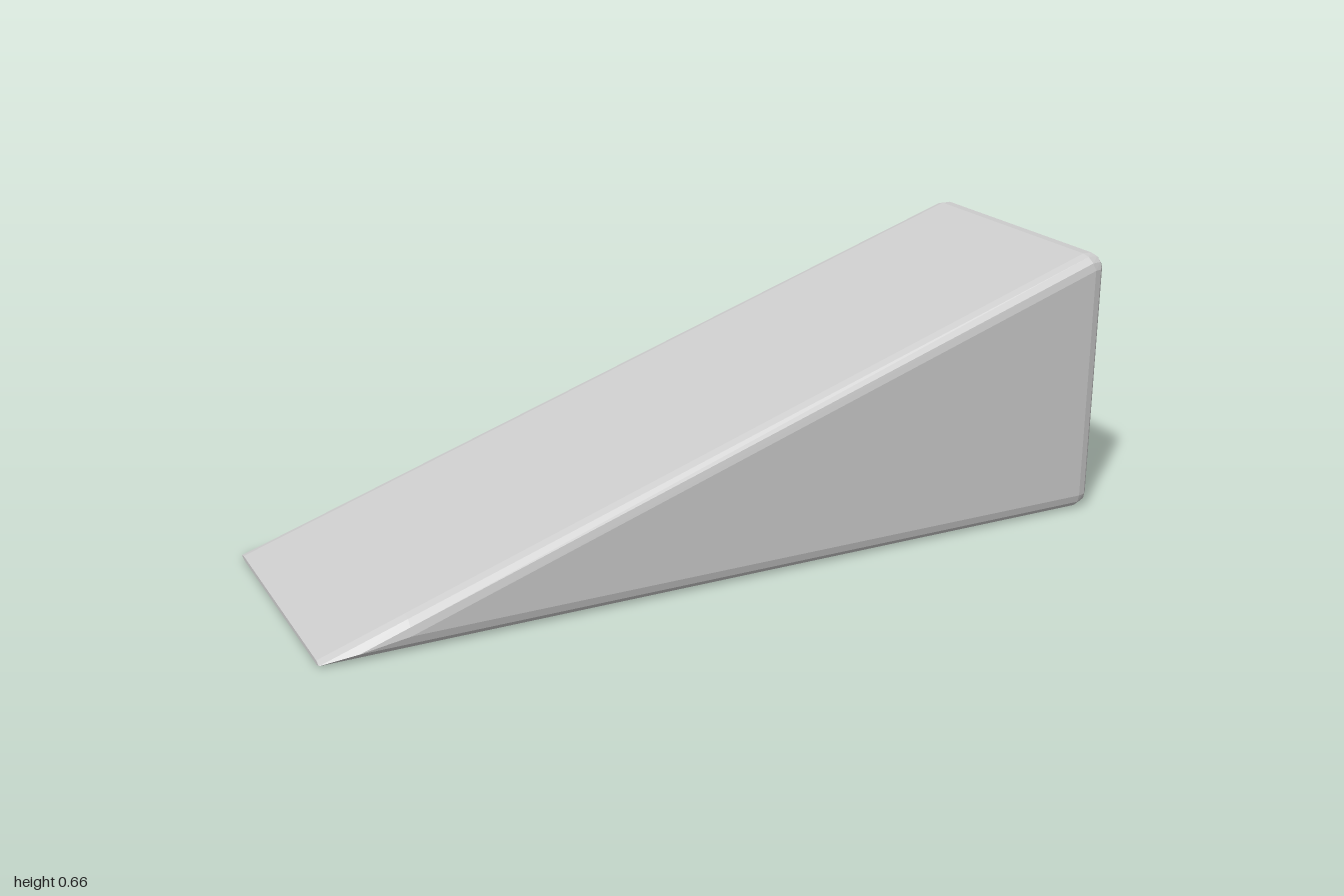
import * as THREE from 'three';

const R = 0.038, HALF = 0.338, SEG = 3;          // edge radius, half width, edge facets
const CORE = HALF - R, END = 1 - R;              // flat limits inside the rounded edges
const TIP = 0.01, SLOPE = 0.333;                 // tip thickness and ramp gradient
const TILT = Math.atan(SLOPE);
const rampY = (x) => TIP + SLOPE * (x + 1);
const POCKET = { x0: 0.39, x1: 0.935, z: 0.272, depth: 0.2 };

// Mirror the +z half of a section to close the ring
function closeRing(half) {
  const mirrored = half.map((p) => new THREE.Vector3(p.x, p.y, -p.z)).reverse();
  return [...half, ...mirrored];
}

// Section of the ramp near the thin end, where the edge roundings run into each other
function taperRing(x) {
  const h = rampY(x), bottom = [], top = [];
  for (let k = SEG; k >= 0; k--) {
    const d = Math.min(R * (1 - Math.sin((k / SEG) * Math.PI / 2)), h / 2);
    const z = CORE + Math.sqrt(Math.max(0, R * R - (R - d) ** 2));
    bottom.push(new THREE.Vector3(x, d, z));
    top.unshift(new THREE.Vector3(x, h - d, z));
  }
  return closeRing([...bottom, ...top]);
}

// Section of the rounded tall end, t = 0 at the ramp to 1 at the end face
function endRing(t) {
  const phi = t * Math.PI / 2;
  const alpha = -TILT + t * (Math.PI / 2 + TILT);
  const side = new THREE.Vector3(Math.sin(phi), 0, Math.cos(phi));
  const down = new THREE.Vector3(Math.sin(phi), -Math.cos(phi), 0);
  const up = new THREE.Vector3(Math.sin(alpha), Math.cos(alpha), 0);
  const low = new THREE.Vector3(END, R, CORE);
  const high = new THREE.Vector3(END, rampY(END) - R / Math.cos(TILT), CORE);
  const corner = (centre, dir, k) => {
    const a = (k / SEG) * Math.PI / 2;
    return side.clone().multiplyScalar(Math.cos(a)).addScaledVector(dir, Math.sin(a))
      .normalize().multiplyScalar(R).add(centre);
  };
  const half = [];
  for (let k = SEG; k >= 0; k--) half.push(corner(low, down, k));
  for (let k = 0; k <= SEG; k++) half.push(corner(high, up, k));
  return closeRing(half);
}

// Loft through the sections, leaving the underside open for the base plate
function wedgeGeometry() {
  const rings = [TIP, R, 2 * R].map((h) => taperRing((h - TIP) / SLOPE - 1));
  for (let i = 0; i <= SEG; i++) rings.push(endRing(i / SEG));
  const n = rings[0].length, last = rings.length - 1, pos = [];
  const tri = (...pts) => pts.forEach((p) => pos.push(p.x, p.y, p.z));
  for (let s = 0; s < last; s++) {
    for (let j = 0; j < n; j++) {
      if (j === n - 1 && s < 3) continue;
      const k = (j + 1) % n;
      const a = rings[s][j], b = rings[s][k], c = rings[s + 1][k], d = rings[s + 1][j];
      tri(a, d, c);
      tri(a, c, b);
    }
  }
  for (let j = 1; j < n - 1; j++) {
    tri(rings[0][0], rings[0][j], rings[0][j + 1]);
    tri(rings[last][0], rings[last][j + 1], rings[last][j]);
  }
  const geo = new THREE.BufferGeometry();
  geo.setAttribute('position', new THREE.Float32BufferAttribute(pos, 3));
  geo.computeVertexNormals();
  return geo;
}

function rectangle(path, x0, x1, z) {
  return path.moveTo(x0, -z).lineTo(x1, -z).lineTo(x1, z).lineTo(x0, z).closePath();
}

// Flat underside with the square pocket opening
function baseGeometry() {
  const shape = rectangle(new THREE.Shape(), -1, END, CORE);
  shape.holes.push(rectangle(new THREE.Path(), POCKET.x0, POCKET.x1, POCKET.z));
  return new THREE.ShapeGeometry(shape).rotateX(Math.PI / 2);
}

// Box turned inside out, without its lower face
function pocketGeometry() {
  const { x0, x1, z, depth } = POCKET;
  const geo = new THREE.BoxGeometry(x1 - x0, depth, 2 * z);
  geo.setIndex([...geo.index.array].filter((_, i) => i < 18 || i > 23));
  geo.clearGroups();
  geo.scale(1, 1, -1).translate((x0 + x1) / 2, depth / 2, 0);
  geo.computeVertexNormals();
  return geo;
}

export function createModel() {
  const group = new THREE.Group();
  group.name = 'doorWedge';
  const material = new THREE.MeshStandardMaterial({ color: 0xcccccc, flatShading: true });
  const add = (name, geometry) => {
    const mesh = new THREE.Mesh(geometry, material);
    mesh.name = name;
    group.add(mesh);
  };
  add('wedgeBody', wedgeGeometry());
  add('basePlate', baseGeometry());
  add('undersidePocket', pocketGeometry());
  return group;
}
